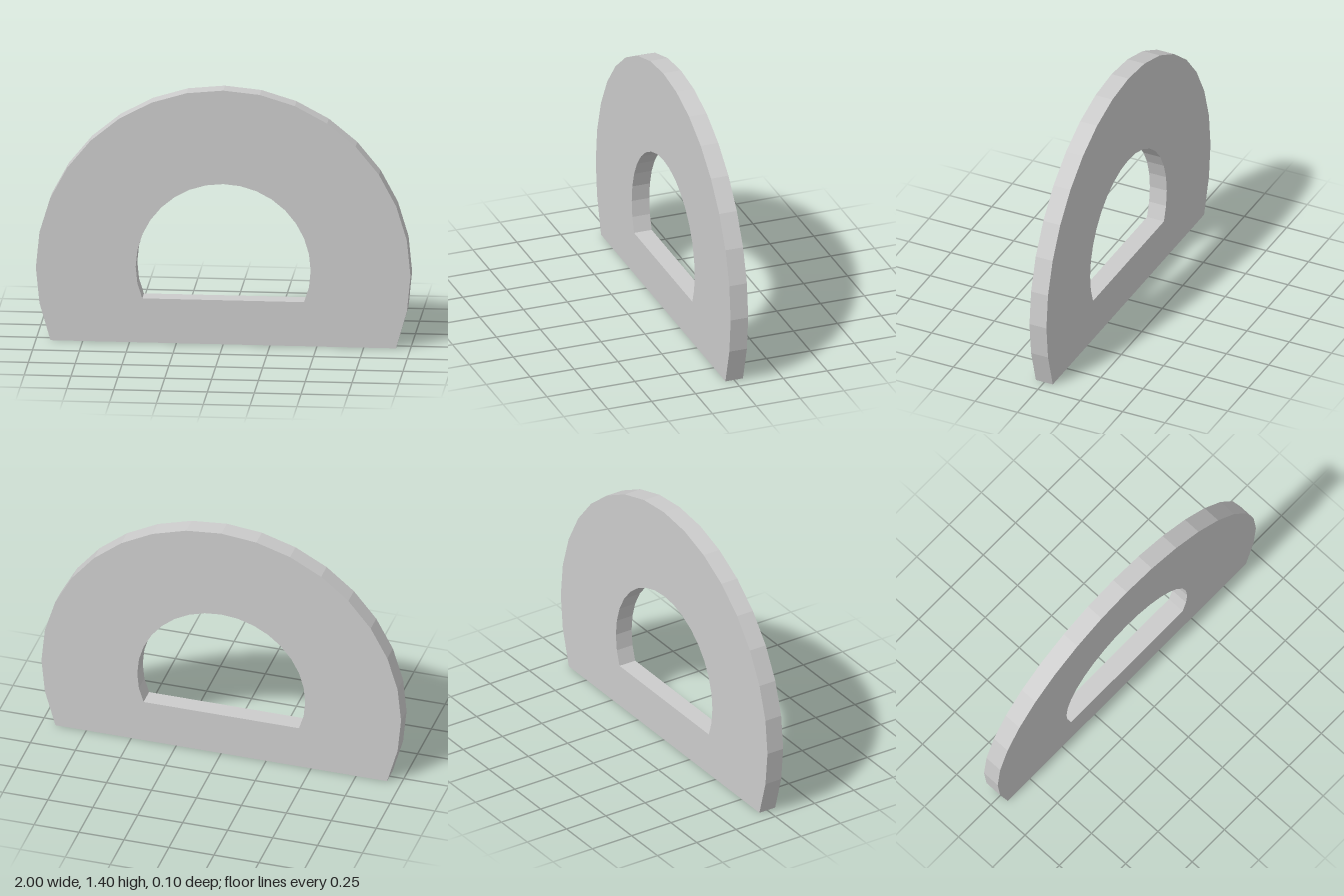
import * as THREE from 'three';

// Faceted arc that passes over the top and ends in two corners on a flat base
function archPoints(radius, centreY, baseX, baseY) {
  const points = [new THREE.Vector2(baseX, baseY)];
  for (let i = -1; i <= 17; i++) {
    const a = (i * Math.PI) / 16;
    points.push(new THREE.Vector2(radius * Math.cos(a), centreY + radius * Math.sin(a)));
  }
  points.push(new THREE.Vector2(-baseX, baseY));
  return points;
}

export function createModel() {
  const group = new THREE.Group();
  const depth = 0.1;

  // Outer outline with the arched opening cut through it
  const shape = new THREE.Shape(archPoints(1, 0.4, 0.922, 0));
  shape.holes.push(new THREE.Path(archPoints(0.467, 0.417, 0.432, 0.243)));

  const geometry = new THREE.ExtrudeGeometry(shape, { depth, bevelEnabled: false });
  geometry.translate(0, 0, -depth / 2);

  const plate = new THREE.Mesh(
    geometry,
    new THREE.MeshStandardMaterial({ color: 0xcccccc, flatShading: true })
  );
  plate.name = 'archedPlate';
  group.add(plate);
  return group;
}
